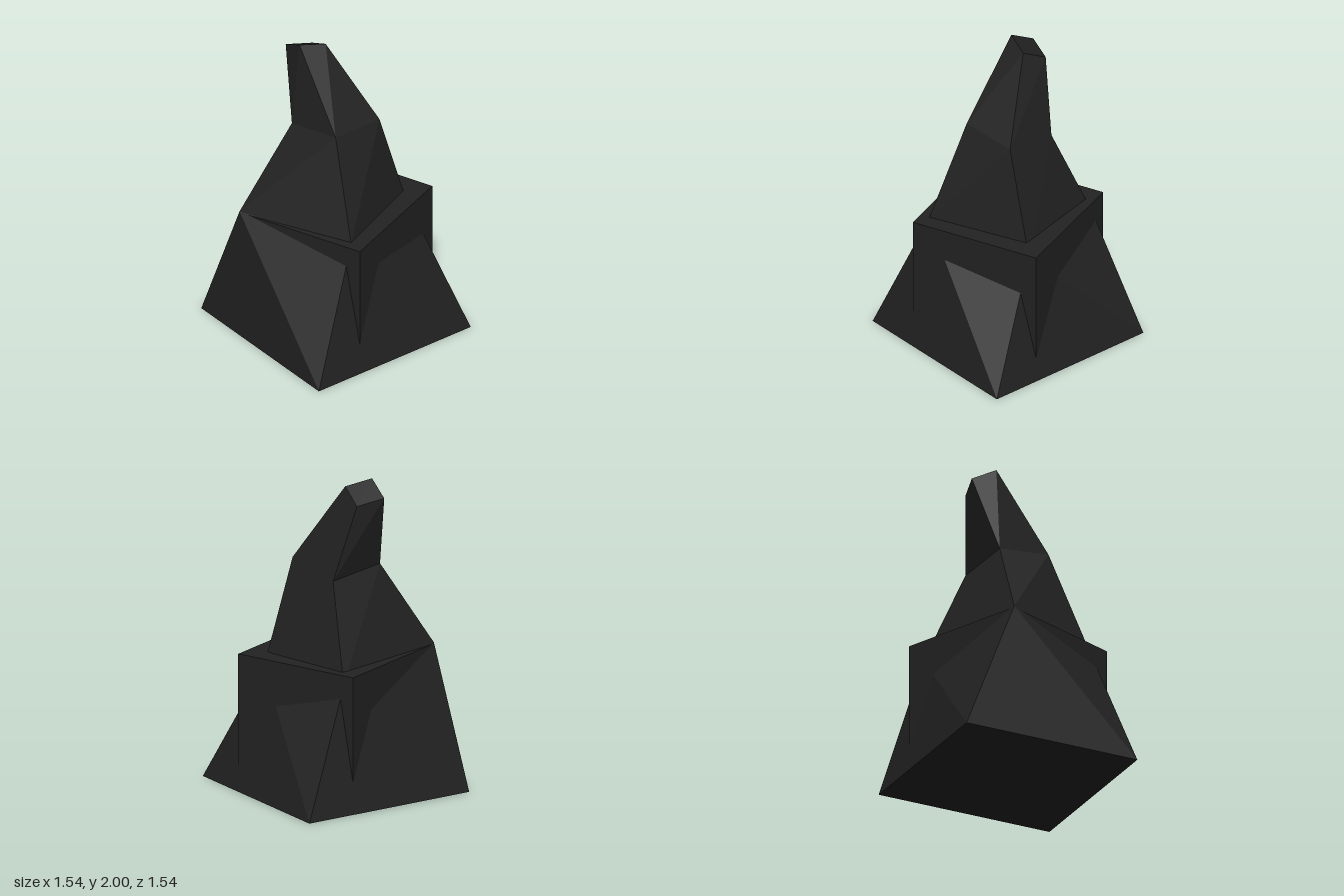
import * as THREE from 'three';

// Four-cornered rings from the ground up, corners ordered
// back right-hand, back left-hand, front left-hand, front right-hand.
const RINGS = [
  [[-0.34, 0, -0.77], [0.77, 0, -0.34], [0.34, 0, 0.77], [-0.77, 0, 0.34]],
  [[-0.34, 0.80, -0.40], [0.32, 0.79, -0.32], [0.335, 0.87, 0.375], [-0.435, 0.885, 0.437]],
  [[-0.14, 1.40, -0.23], [0.23, 1.47, -0.14], [0.13, 1.50, 0.22], [-0.235, 1.44, 0.14]],
  [[-0.25, 1.88, -0.13], [-0.105, 1.965, -0.05], [-0.21, 2.0, 0.09], [-0.355, 1.915, 0.015]],
];

function facetedGeometry(triangles) {
  const geometry = new THREE.BufferGeometry();
  geometry.setAttribute('position', new THREE.Float32BufferAttribute(triangles.flat(2), 3));
  geometry.computeVertexNormals();
  return geometry;
}

// Side faces between two rings; twist picks the diagonal of each face.
function band(lower, upper, twist) {
  const triangles = [];
  for (let i = 0; i < 4; i++) {
    const j = (i + 1) % 4;
    if (twist) {
      triangles.push([lower[j], lower[i], upper[j]], [lower[i], upper[i], upper[j]]);
    } else {
      triangles.push([lower[j], lower[i], upper[i]], [lower[j], upper[i], upper[j]]);
    }
  }
  return triangles;
}

export function createModel() {
  const model = new THREE.Group();
  model.name = 'rockSpire';
  const stone = new THREE.MeshStandardMaterial({ color: 0x222222, flatShading: true });
  stone.name = 'darkStone';

  const add = (name, geometry) => {
    const mesh = new THREE.Mesh(geometry, stone);
    mesh.name = name;
    model.add(mesh);
    return mesh;
  };

  // Wide foot with its underside
  const [a, b, c, d] = RINGS[0];
  add('foot', facetedGeometry([...band(RINGS[0], RINGS[1], true), [a, b, c], [a, c, d]]));

  // Tapering middle
  add('shaft', facetedGeometry(band(RINGS[1], RINGS[2], false)));

  // Leaning tip with a slanted top
  const [e, f, g, h] = RINGS[3];
  add('tip', facetedGeometry([...band(RINGS[2], RINGS[3], false), [e, h, g], [e, g, f]]));

  // Square block set through the foot
  add('block', new THREE.BoxGeometry(0.87, 0.87, 0.87)).position.y = 0.443;

  return model;
}
